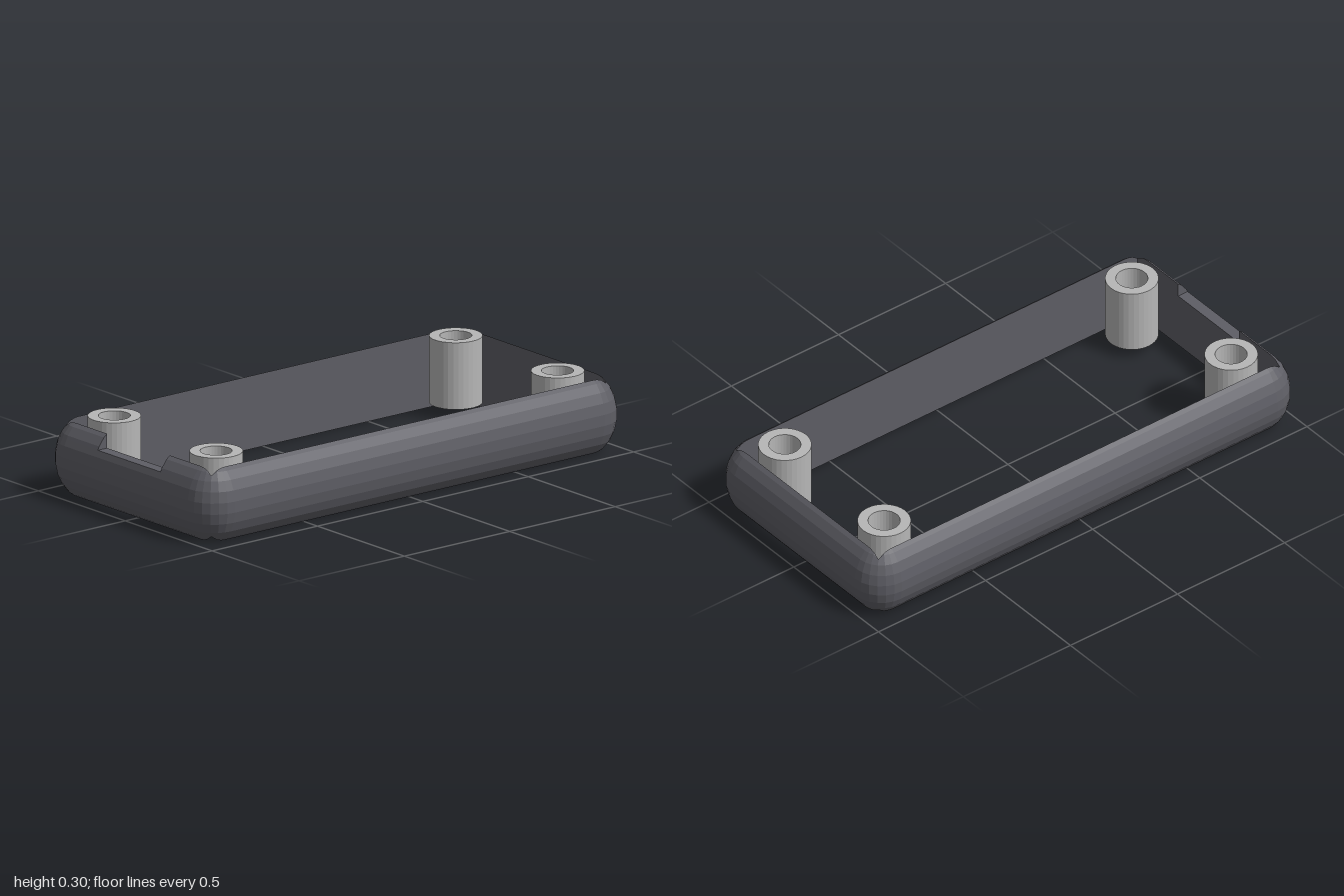
import * as THREE from 'three';

const dark = new THREE.MeshStandardMaterial({ color: 0x5e5e65 });
dark.name = 'dark grey';
const light = new THREE.MeshStandardMaterial({ color: 0xb6b6b6 });
light.name = 'light grey';

const MID = 0.14;                     // mid height of the frame
const R = 0.124, H = 0.1615;          // rounding: sideways and vertical
const CX = 0.36, CZ = 0.877;          // centres of the rounded corners
const WALL = 0.06;                    // inner faces lie this far beyond the centres
const NOTCH_X = 0.18, NOTCH_Y = 0.225;

// Half of the edge rounding, from the vertical band inwards: [radius, height above MID]
const arc = [7.5, 22.5, 37.5, 52.5, 67.5, 82.5].map((deg) => {
  const e = THREE.MathUtils.degToRad(deg);
  return [R * Math.cos(e), H * Math.sin(e)];
});

// Height of the rounding at a given radius, and the radius at a given height
function lookup(value, from, to) {
  for (let i = 0; i < arc.length - 1; i++) {
    const a = arc[i], b = arc[i + 1];
    if ((value - a[from]) * (value - b[from]) <= 0) {
      return a[to] + (b[to] - a[to]) * (value - a[from]) / (b[from] - a[from]);
    }
  }
  return arc[0][to];
}

// Radii of the section, with one more at the height of the notch floor
const radii = arc.map((p) => p[0]);
radii.push(lookup(NOTCH_Y - MID, 1, 0));
radii.sort((a, b) => b - a);

// Wall section along one outward direction, from bottom inside over the outside to top inside
function section(cx, cz, angle, notched) {
  const c = Math.cos(angle), s = Math.sin(angle);
  const inner = WALL / Math.max(Math.abs(c), Math.abs(s));
  const half = radii.map((r) => {
    const rr = Math.max(r, inner);
    return [rr, lookup(rr, 0, 1)];
  });
  const at = (r, y) => new THREE.Vector3(cx + c * r, y, cz + s * r);
  const lower = half.map(([r, h]) => at(r, MID - h)).reverse();
  const upper = half.map(([r, h]) => at(r, notched ? Math.min(MID + h, NOTCH_Y) : MID + h));
  return [...lower, ...upper];
}

function frameGeometry() {
  const rings = [];
  const corners = [[1, 1], [-1, 1], [-1, -1], [1, -1]];
  corners.forEach(([sx, sz], q) => {
    for (let i = 0; i <= 6; i++) {
      rings.push(section(sx * CX, sz * CZ, (q + i / 6) * Math.PI / 2, false));
    }
    // Notch in the middle of the front wall
    if (q === 0) {
      for (const [x, cut] of [[1, false], [1, true], [-1, true], [-1, false]]) {
        rings.push(section(x * NOTCH_X, CZ, Math.PI / 2, cut));
      }
    }
  });
  const pos = [];
  const tri = (...points) => points.forEach((p) => pos.push(p.x, p.y, p.z));
  rings.forEach((ring, i) => {
    const next = rings[(i + 1) % rings.length];
    ring.forEach((a, k) => {
      const n = (k + 1) % ring.length;
      tri(a, ring[n], next[k]);
      tri(ring[n], next[n], next[k]);
    });
  });
  const geometry = new THREE.BufferGeometry();
  geometry.setAttribute('position', new THREE.Float32BufferAttribute(pos, 3));
  geometry.computeVertexNormals();
  return geometry;
}

// Hollow tube with flat ends
function postGeometry() {
  const outer = 0.098, hole = 0.059, bottom = 0.045, top = 0.3;
  const profile = [[hole, bottom], [outer, bottom], [outer, top], [hole, top], [hole, bottom]];
  const geometry = new THREE.LatheGeometry(profile.map(([x, y]) => new THREE.Vector2(x, y)), 32).toNonIndexed();
  geometry.computeVertexNormals();
  return geometry;
}

export function createModel() {
  const model = new THREE.Group();
  model.name = 'enclosureFrame';

  const frame = new THREE.Mesh(frameGeometry(), dark);
  frame.name = 'frame';
  model.add(frame);

  // Four screw posts near the corners
  const post = postGeometry();
  for (const [z, end] of [[0.81, 'front'], [-0.81, 'back']]) {
    for (const [x, side] of [[0.293, 'Left'], [-0.293, 'Right']]) {
      const mesh = new THREE.Mesh(post, light);
      mesh.name = `${end}${side}Post`;
      mesh.position.set(x, 0, z);
      model.add(mesh);
    }
  }
  return model;
}
